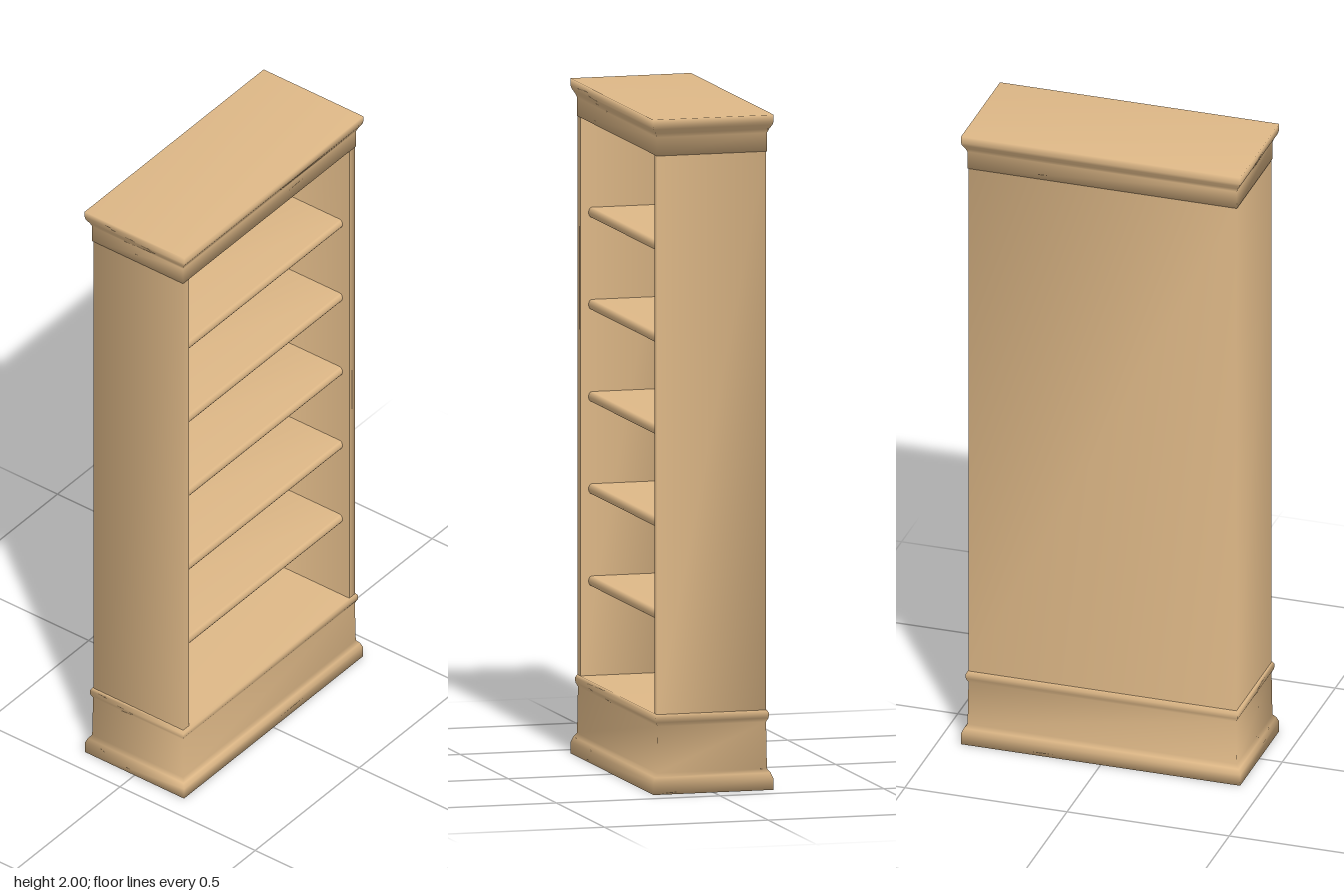
import * as THREE from 'three';

const wood = new THREE.MeshStandardMaterial({ color: 0xdeb887 });
wood.name = 'lightWood';

// Smooth skin across rings of [x, y, z] points, optionally closed around and capped
function loft(rings, closed, capped) {
  const n = rings[0].length, index = [];
  for (let r = 0; r < rings.length - 1; r++) {
    for (let i = 0; i < (closed ? n : n - 1); i++) {
      const a = r * n + i, b = r * n + (i + 1) % n;
      index.push(a, b, b + n, a, b + n, a + n);
    }
  }
  if (capped) {
    const t = (rings.length - 1) * n;
    for (let i = 1; i < n - 1; i++) index.push(t, t + i, t + i + 1, 0, i + 1, i);
  }
  const g = new THREE.BufferGeometry();
  g.setAttribute('position', new THREE.Float32BufferAttribute(rings.flat(2), 3));
  g.setIndex(index);
  g.computeVertexNormals();
  return g;
}

// Rectangular moulding from a profile of [half width, half depth, height]
const moulding = (profile) => loft(profile.map(([w, d, y]) =>
  [[-w, y, d], [w, y, d], [w, y, -d], [-w, y, -d]]), true, true);

// Upright wall following a plan of [x, z] points
const wall = (plan, y0, y1) => loft([y0, y1].map((y) => plan.map(([x, z]) => [x, y, z])), false, false);

export function createModel() {
  const group = new THREE.Group();
  group.name = 'bookcase';
  const add = (name, geometry) => {
    const mesh = new THREE.Mesh(geometry, wood);
    mesh.name = name;
    group.add(mesh);
    return mesh;
  };

  const outer = 0.413, inner = 0.385, front = 0.167, back = -0.165, recess = -0.137;
  const floorY = 0.235, ceilingY = 1.89;

  // Plinth with a flared foot and a bead along its top
  add('plinth', moulding([
    [0.43, 0.183, 0], [0.43, 0.183, 0.035], [0.424, 0.177, 0.05], [0.415, 0.168, 0.062],
    [0.413, 0.166, 0.2], [0.419, 0.172, 0.212], [0.42, 0.173, 0.226], [0.415, 0.168, floorY],
  ]));

  // Flared cornice
  add('cornice', moulding([
    [0.415, 0.168, ceilingY], [0.415, 0.168, 1.945], [0.42, 0.173, 1.957],
    [0.428, 0.181, 1.97], [0.43, 0.184, 1.98], [0.43, 0.184, 2],
  ]));

  // Case: outside with front edges, then the recess
  add('caseOutside', wall([
    [inner, front], [outer, front], [outer, back], [-outer, back], [-outer, front], [-inner, front],
  ], floorY, ceilingY));
  add('caseInside', wall([
    [-inner, front], [-inner, recess], [inner, recess], [inner, front],
  ], floorY, ceilingY));

  // Shelves with a rounded front edge
  const h = 0.015, nose = 0.132;
  const section = [[recess, h]];
  for (let i = 0; i <= 6; i++) {
    const a = Math.PI * (0.5 - i / 6);
    section.push([nose + 0.01 * Math.cos(a), h * Math.sin(a)]);
  }
  section.push([recess, -h]);
  const shelf = loft([-inner, inner].map((x) => section.map(([z, y]) => [x, y, z])), true, false);
  for (let i = 0; i < 5; i++) add('shelf' + (i + 1), shelf).position.y = 0.515 + i * 0.273;

  return group;
}
